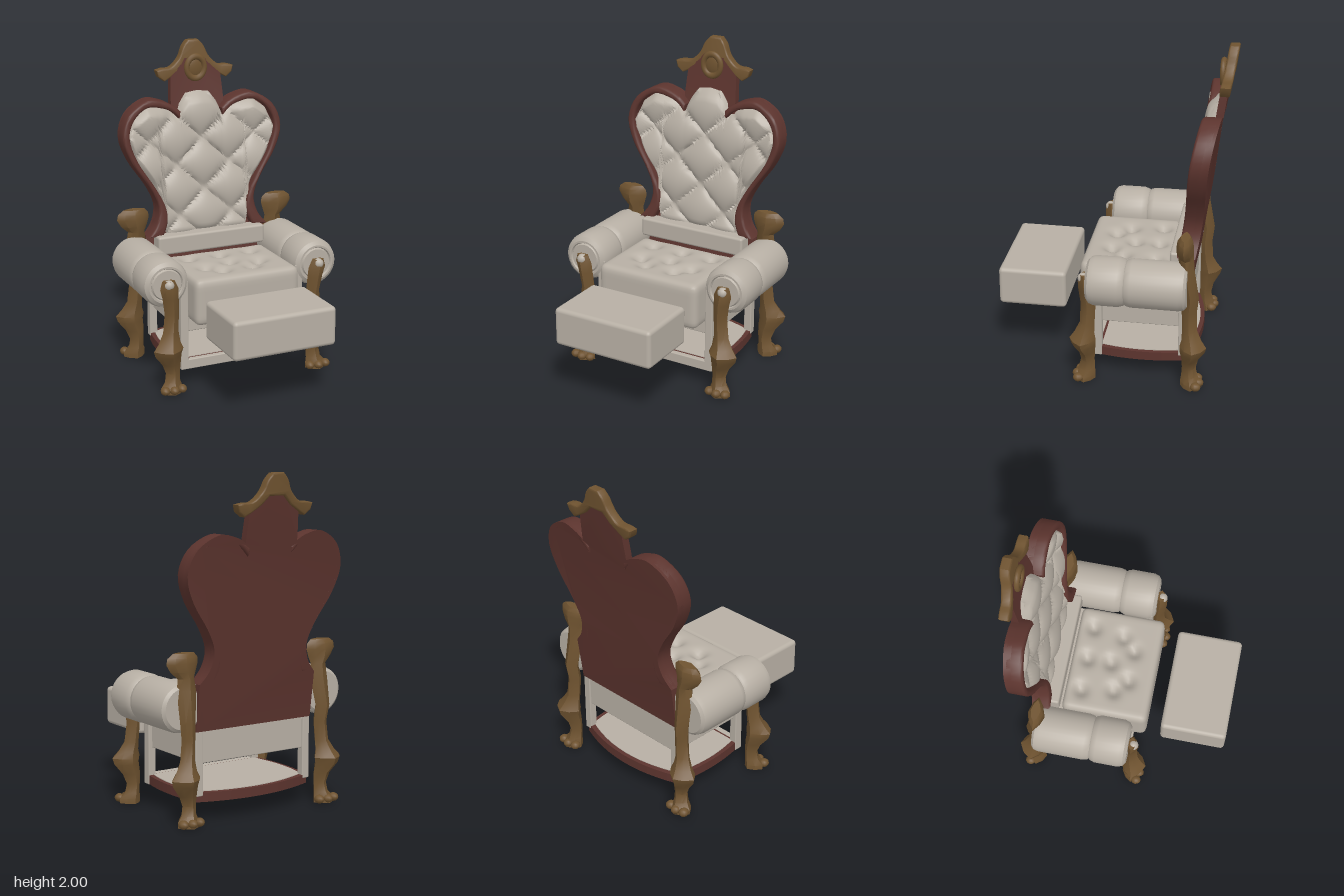
import * as THREE from 'three';
import { mergeVertices, toCreasedNormals } from 'three/addons/utils/BufferGeometryUtils.js';
import { RoundedBoxGeometry } from 'three/addons/geometries/RoundedBoxGeometry.js';

const mat = (name, color) => Object.assign(new THREE.MeshStandardMaterial({ color }), { name });
const fabric = mat('pale fabric', 0xb7afa4);
const redWood = mat('red wood', 0x5c342e);
const gold = mat('dark gold', 0x6f5330);

// The backrest leans backwards as it rises and its edges curl slightly forwards
const backZ = (x, y) => -0.49 - (y - 0.6) * 0.135 + 0.08 * x * x;

const v2 = (pts) => pts.map(([x, y]) => new THREE.Vector2(x, y));
const smooth = (pts, n = 40) => new THREE.SplineCurve(v2(pts)).getPoints(n);
const mirrorX = (pts) => pts.map((p) => new THREE.Vector2(-p.x, p.y));

// Extrudes an outline and bends it to follow the leaning back
function leanExtrude(points, depth, offset, bevel = 0) {
  const g = new THREE.ExtrudeGeometry(new THREE.Shape(points), {
    depth: depth - 2 * bevel, bevelEnabled: bevel > 0, bevelSize: bevel, bevelOffset: -bevel,
    bevelThickness: bevel, bevelSegments: 3,
  });
  const p = g.attributes.position;
  for (let i = 0; i < p.count; i++) {
    p.setZ(i, p.getZ(i) + bevel + offset + backZ(p.getX(i), p.getY(i)));
  }
  return toCreasedNormals(g, 0.7);
}

// Lofts eight-sided, diamond-like rings given as [y, centre x, centre z, radius x, radius z]
function loft(rings) {
  const pos = [], idx = [], n = 8;
  for (const [y, cx, cz, rx, rz] of rings) {
    for (let j = 0; j < n; j++) {
      const a = (j / n) * Math.PI * 2, k = j % 2 ? 0.86 : 1;
      pos.push(cx + Math.cos(a) * rx * k, y, cz + Math.sin(a) * rz * k);
    }
  }
  const last = rings.length - 1;
  for (let i = 0; i < last; i++) {
    for (let j = 0; j < n; j++) {
      const a = i * n + j, b = i * n + (j + 1) % n;
      idx.push(a, a + n, b, b, a + n, b + n);
    }
  }
  for (let j = 1; j < n - 1; j++) {
    idx.push(0, j, j + 1, last * n, last * n + j + 1, last * n + j);
  }
  return finish(pos, idx, 0.6);
}

function finish(pos, idx, crease) {
  const g = new THREE.BufferGeometry();
  g.setAttribute('position', new THREE.Float32BufferAttribute(pos, 3));
  g.setIndex(idx);
  g.computeVertexNormals();
  return toCreasedNormals(g, crease);
}

// Looks up a value in a list of [x, value] pairs
function lerpTable(t, x) {
  for (let i = 1; i < t.length; i++) {
    if (x <= t[i][0]) {
      const k = (x - t[i - 1][0]) / (t[i][0] - t[i - 1][0]);
      return t[i - 1][1] + k * (t[i][1] - t[i - 1][1]);
    }
  }
  return t[t.length - 1][1];
}

// Diamond-buttoned padding of the backrest, built column by column
function tuftedBack() {
  const top = [[0, 1.69], [0.08, 1.68], [0.125, 1.62], [0.15, 1.56], [0.25, 1.61], [0.36, 1.625], [0.46, 1.55], [0.505, 1.44]];
  const low = [[0, 0.78], [0.28, 0.78], [0.29, 1.0], [0.34, 1.1], [0.46, 1.28], [0.505, 1.44]];
  const nx = 64, ny = 56, pos = [], idx = [];
  for (let i = 0; i <= nx; i++) {
    const x = -0.505 + (1.01 * i) / nx, a = lerpTable(low, Math.abs(x)), b = lerpTable(top, Math.abs(x));
    for (let j = 0; j <= ny; j++) {
      const y = a + ((b - a) * j) / ny;
      const edge = Math.sqrt(Math.min(1, Math.max(0, Math.min(y - a, b - y)) / 0.06));
      const u = x / 0.36 + (y - 1.08) / 0.32, v = x / 0.36 - (y - 1.08) / 0.32;
      const puff = Math.pow(Math.abs(Math.sin(Math.PI * u) * Math.sin(Math.PI * v)), 0.4);
      pos.push(x, y, backZ(x, y) + 0.042 + edge * (0.025 + 0.05 * puff));
      if (i < nx && j < ny) {
        const k = i * (ny + 1) + j, r = k + ny + 1;
        idx.push(k, r, k + 1, k + 1, r, r + 1);
      }
    }
  }
  return finish(pos, idx, 0.8);
}

// Rounded seat cushion with button dimples on top
function seatCushion() {
  const w = 0.69, h = 0.29, d = 0.54, r = 0.04;
  let g = new THREE.BoxGeometry(w, h, d, 36, 12, 30);
  g.deleteAttribute('uv');
  g.deleteAttribute('normal');
  g = mergeVertices(g);
  const buttons = [[-0.21, -0.17], [0, -0.17], [0.21, -0.17], [-0.18, 0.03], [0, -0.02], [0.18, 0.03], [-0.1, 0.11], [0.1, 0.11]];
  const p = g.attributes.position, v = new THREE.Vector3(), c = new THREE.Vector3();
  const limit = new THREE.Vector3(w / 2 - r, h / 2 - r, d / 2 - r), neg = limit.clone().negate();
  for (let i = 0; i < p.count; i++) {
    v.fromBufferAttribute(p, i);
    c.copy(v).clamp(neg, limit);
    v.sub(c).setLength(r).add(c);
    if (v.y > h / 2 - 0.02) {
      for (const [x, z] of buttons) {
        v.y -= 0.05 * Math.exp(-((v.x - x) ** 2 + (v.z - z) ** 2) / 0.002);
      }
    }
    p.setXYZ(i, v.x, v.y, v.z);
  }
  g.computeVertexNormals();
  return g;
}

export function createModel() {
  const model = new THREE.Group();
  const add = (name, geo, material, x = 0, y = 0, z = 0) => {
    const m = new THREE.Mesh(geo, material);
    m.name = name;
    m.position.set(x, y, z);
    model.add(m);
    return m;
  };
  // Box given by its limits on each axis
  const box = (name, x0, x1, y0, y1, z0, z1, material, r = 0.006) => add(name,
    new RoundedBoxGeometry(x1 - x0, y1 - y0, z1 - z0, 3, r), material, (x0 + x1) / 2, (y0 + y1) / 2, (z0 + z1) / 2);

  // Backrest panel
  const lobe = [[0.14, 1.575], [0.18, 1.61], [0.25, 1.645], [0.36, 1.66], [0.49, 1.58], [0.54, 1.44], [0.49, 1.285], [0.385, 1.127], [0.33, 1.0], [0.35, 0.89], [0.41, 0.81]];
  const half = [...v2([[0.03, 1.94], [0.09, 1.86], [0.17, 1.78], [0.18, 1.64]]), ...smooth(lobe).slice(4), ...v2([[0.41, 0.53]])];
  add('backPanel', leanExtrude([...half, ...mirrorX(half).reverse()], 0.045, 0), redWood);
  add('backPadding', tuftedBack(), fabric);

  // Raised rims around the two lobes
  const inner = [[0.31, 0.81], [0.275, 0.9], [0.285, 1.0], [0.345, 1.12], [0.45, 1.29], [0.495, 1.44], [0.455, 1.55], [0.36, 1.615], [0.25, 1.6], [0.19, 1.57], [0.15, 1.53]];
  const rim = [...smooth(lobe), ...smooth(inner)];
  add('leftRim', leanExtrude(rim, 0.11, 0.002, 0.016), redWood);
  add('rightRim', leanExtrude(mirrorX(rim), 0.11, 0.002, 0.016), redWood);

  // Crown and medallion
  const brow = smooth([[0.035, 2.0], [0.07, 1.96], [0.1, 1.895], [0.16, 1.84], [0.22, 1.835], [0.262, 1.825]], 16);
  const under = v2([[0.25, 1.785], [0.21, 1.755], [0.17, 1.775], [0.1, 1.82], [0.05, 1.87]]);
  const crownHalf = [...brow, ...under];
  add('crown', leanExtrude([...crownHalf, ...mirrorX(crownHalf).reverse()], 0.06, -0.015, 0.01), gold);
  add('medallionRing', new THREE.TorusGeometry(0.06, 0.018, 10, 28), gold, 0, 1.83, -0.603).scale.set(1, 1.15, 1);
  add('medallion', new THREE.SphereGeometry(0.065, 20, 14), gold, 0, 1.83, -0.62).scale.set(1, 1.15, 0.4);

  // Seat
  add('seatCushion', seatCushion(), fabric, 0, 0.555, -0.075);
  box('seatBase', -0.385, 0.385, 0.34, 0.55, -0.455, 0.06, fabric);
  box('backRail', -0.365, 0.365, 0.7, 0.82, -0.45, -0.35, fabric, 0.015);

  // Footrest
  box('footrest', -0.33, 0.33, 0.37, 0.61, 0.285, 0.7, fabric, 0.025);

  // Bowed bottom shelf with a red edge and pale faces
  const shelf = (inset) => {
    const a = 0.4 - inset, f = 0.08 - inset, b = -0.45 + inset, s = new THREE.Shape();
    s.moveTo(-a, -f);
    s.lineTo(a, -f);
    s.quadraticCurveTo(a + 0.06, 0.185, a, -b);
    s.quadraticCurveTo(0, -b + 0.16, -a, -b);
    s.quadraticCurveTo(-a - 0.06, 0.185, -a, -f);
    return s;
  };
  const slab = (name, inset, y, t, m) => add(name,
    new THREE.ExtrudeGeometry(shelf(inset), { depth: t, bevelEnabled: false }).rotateX(-Math.PI / 2).scale(1, 1, -1 * -1), m, 0, y, 0);
  // The outline is drawn with y as -z, so flip it once it is laid flat
  const lay = (name, inset, y, t, m) => {
    const mesh = slab(name, inset, y, t, m);
    const g = mesh.geometry;
    g.computeVertexNormals();
    return mesh;
  };
  lay('shelfEdge', 0, 0.115, 0.055, redWood);
  lay('shelfTop', 0.025, 0.17, 0.004, fabric);
  lay('shelfUnderside', 0.025, 0.111, 0.004, fabric);
  box('frontStretcher', -0.41, 0.41, 0.112, 0.175, 0.07, 0.105, fabric);

  // Leg and finial rings for the model's left side
  const leg = [[0, 0.49, 0.14, 0.07, 0.065], [0.03, 0.49, 0.14, 0.07, 0.065], [0.065, 0.48, 0.13, 0.05, 0.05], [0.12, 0.475, 0.125, 0.046, 0.042],
    [0.18, 0.485, 0.13, 0.06, 0.05], [0.245, 0.51, 0.145, 0.085, 0.075], [0.28, 0.51, 0.15, 0.095, 0.08], [0.32, 0.5, 0.14, 0.07, 0.06],
    [0.38, 0.485, 0.125, 0.05, 0.045], [0.5, 0.475, 0.12, 0.046, 0.045], [0.6, 0.485, 0.13, 0.052, 0.046]];
  const legTop = [[0.66, 0.495, 0.135, 0.058, 0.042], [0.71, 0.5, 0.135, 0.04, 0.03]];
  const finial = [[0.78, 0.475, 0.1, 0.065, 0.045], [0.85, 0.475, 0.095, 0.055, 0.045], [0.89, 0.49, 0.09, 0.085, 0.05],
    [0.935, 0.497, 0.09, 0.105, 0.05], [0.97, 0.495, 0.09, 0.1, 0.046], [0.995, 0.49, 0.09, 0.07, 0.03]];

  // Rolled arm with a tucked seam and a scrolled front
  const roll = v2([[0, -0.475], [0.12, -0.475], [0.138, -0.46], [0.145, -0.43], [0.145, -0.15], [0.138, -0.12], [0.13, -0.112], [0.138, -0.104],
    [0.148, -0.075], [0.148, 0.07], [0.138, 0.1], [0.115, 0.117], [0.103, 0.117], [0.097, 0.106], [0.09, 0.117], [0, 0.117]]);

  for (const s of [1, -1]) {
    const side = s > 0 ? 'left' : 'right';
    const front = (r) => [r[0], s * r[1], r[2], r[3], r[4]];
    const rear = (r) => [r[0], s * r[1], -0.365 - r[2], r[3], r[4]];
    add(side + 'FrontLeg', loft([...leg, ...legTop].map(front)), gold);
    add(side + 'RearLegAndFinial', loft([...leg, ...finial].map(rear)), gold);
    // Clawed toes
    for (const [zc, dir, where] of [[0.14, 1, 'Front'], [-0.505, -1, 'Rear']]) {
      for (const t of [-1, 0, 1]) {
        const toe = add(side + where + 'Toe', new THREE.SphereGeometry(0.03, 10, 8), gold, s * 0.49 + t * 0.054, 0.026, zc + dir * (0.045 - 0.012 * Math.abs(t)));
        toe.scale.set(1, 0.87, 1.1);
      }
    }
    const arm = toCreasedNormals(new THREE.LatheGeometry(roll, 32).rotateX(Math.PI / 2), 0.6);
    add(side + 'Arm', arm, fabric, s * 0.5, 0.677, 0);
    add(side + 'ScrollButton', new THREE.SphereGeometry(0.032, 14, 10), fabric, s * 0.5, 0.685, 0.145);
    // Upholstered posts beside the legs
    const x0 = s > 0 ? 0.36 : -0.41;
    box(side + 'FrontPost', x0, x0 + 0.05, 0.112, 0.68, 0.05, 0.105, fabric);
    box(side + 'RearPost', x0, x0 + 0.05, 0.15, 0.6, -0.465, -0.415, fabric);
  }
  return model;
}
